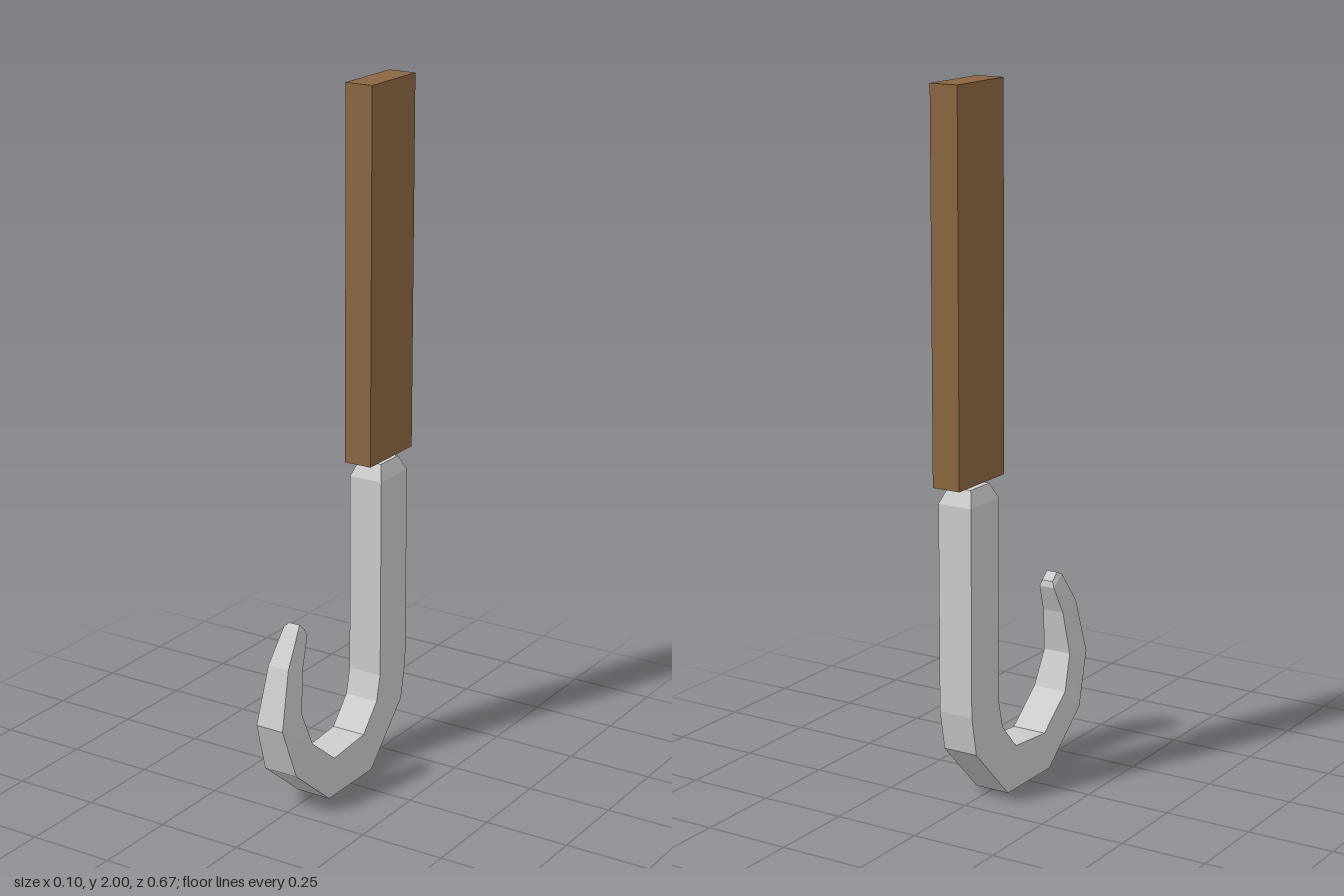
import * as THREE from 'three';

// Lofts four-cornered sections [outerZ, outerY, innerZ, innerY, halfWidth] into a closed solid
function loft(sections) {
  const rings = sections.map(([oz, oy, iz, iy, w]) => [
    [w, oy, oz], [-w, oy, oz], [-w, iy, iz], [w, iy, iz],
  ]);
  const pos = [];
  const quad = (a, b, c, d) => pos.push(...a, ...b, ...c, ...a, ...c, ...d);
  for (let i = 0; i < rings.length - 1; i++) {
    const r = rings[i], s = rings[i + 1];
    for (let k = 0; k < 4; k++) {
      const n = (k + 1) % 4;
      quad(r[k], s[k], s[n], r[n]);
    }
  }
  quad(...rings[0]);
  quad(...rings[rings.length - 1].slice().reverse());
  const geo = new THREE.BufferGeometry();
  geo.setAttribute('position', new THREE.Float32BufferAttribute(pos, 3));
  geo.computeVertexNormals();
  return geo;
}

export function createModel() {
  const group = new THREE.Group();
  group.name = 'hangingHook';

  // Wooden plank above the hook
  const plank = new THREE.Mesh(
    new THREE.BoxGeometry(0.084, 1.075, 0.222),
    new THREE.MeshStandardMaterial({ color: 0x8a6642, flatShading: true }),
  );
  plank.name = 'woodenPlank';
  plank.position.set(0, 1.4625, -0.224);
  group.add(plank);

  // Metal hook: bevelled shank, bend, then tapering point
  const hook = new THREE.Mesh(
    loft([
      [-0.27, 0.914, -0.178, 0.914, 0.036],
      [-0.294, 0.87, -0.155, 0.87, 0.052],
      [-0.294, 0.28, -0.155, 0.28, 0.052],
      [-0.272, 0.165, -0.137, 0.205, 0.052],
      [-0.11, 0, -0.067, 0.127, 0.052],
      [0.115, 0, 0.087, 0.115, 0.052],
      [0.282, 0.137, 0.2, 0.205, 0.052],
      [0.335, 0.29, 0.24, 0.308, 0.043],
      [0.29, 0.455, 0.217, 0.437, 0.033],
      [0.226, 0.55, 0.182, 0.518, 0.024],
      [0.21, 0.558, 0.185, 0.536, 0.017],
    ]),
    new THREE.MeshStandardMaterial({ color: 0xcccccc, flatShading: true }),
  );
  hook.name = 'metalHook';
  group.add(hook);

  return group;
}
